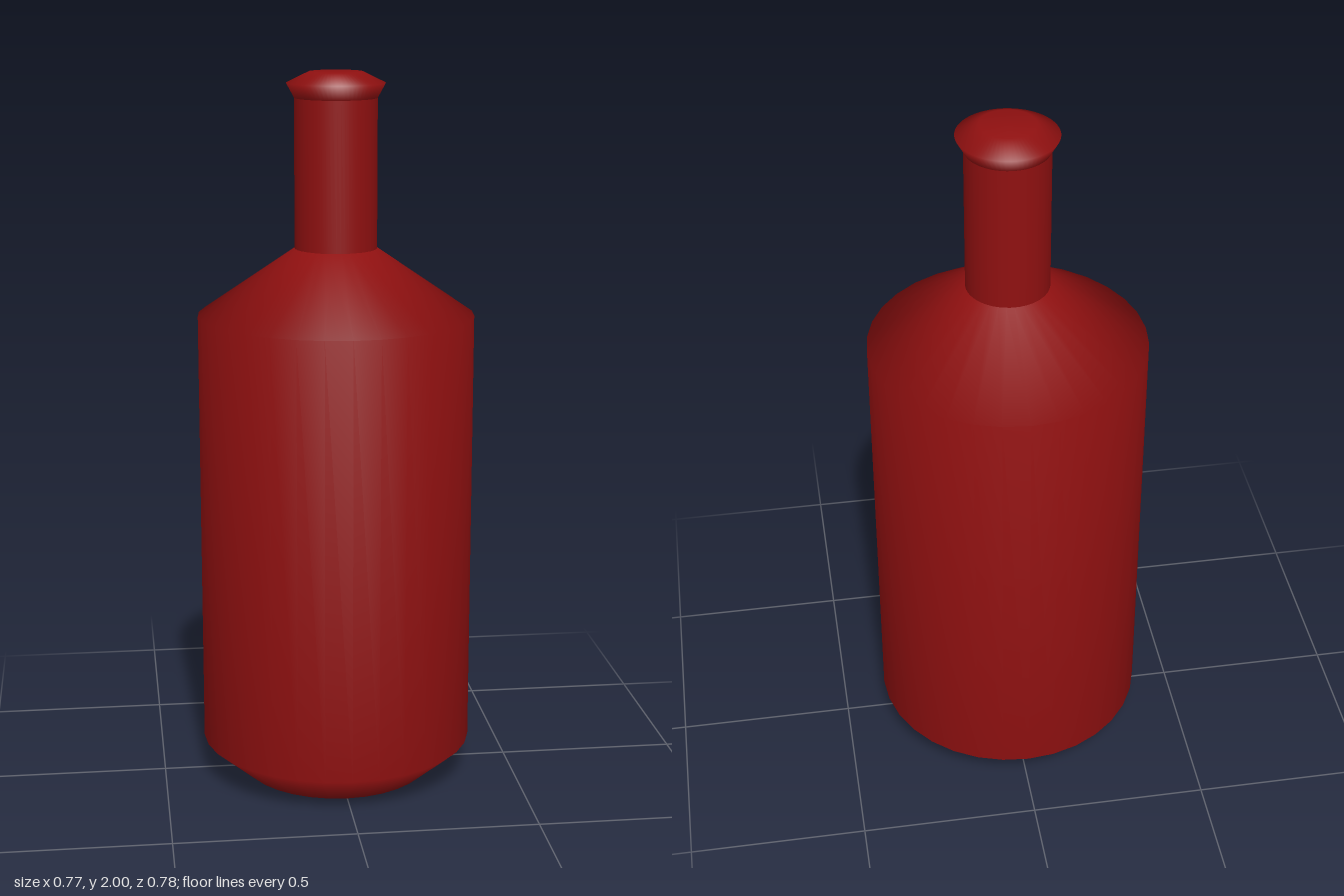
import * as THREE from 'three';

const glass = new THREE.MeshStandardMaterial({ color: 0x8f1010 });

// Smooth closed solid of revolution from [radius, height] pairs, bottom to top
function turned(name, profile, sides) {
  const points = profile.map(([r, y]) => new THREE.Vector2(r, y));
  const mesh = new THREE.Mesh(new THREE.LatheGeometry(points, sides), glass);
  mesh.name = name;
  mesh.scale.x = 0.99; // very slightly narrower across than deep
  return mesh;
}

export function createModel() {
  const bottle = new THREE.Group();
  bottle.name = 'bottle';

  // Bevelled base, straight wall and sloping shoulder
  bottle.add(turned('body', [
    [0, 0], [0.27, 0], [0.388, 0.1], [0.388, 1.335], [0.115, 1.52], [0, 1.52],
  ], 32));

  // Slim neck, rising out of the shoulder
  bottle.add(turned('neck', [[0.115, 1.5], [0.115, 1.94]], 64));

  // Flared lip with a bevelled, closed top
  bottle.add(turned('lip', [
    [0.115, 1.93], [0.137, 1.97], [0.075, 2], [0, 2],
  ], 64));

  return bottle;
}
